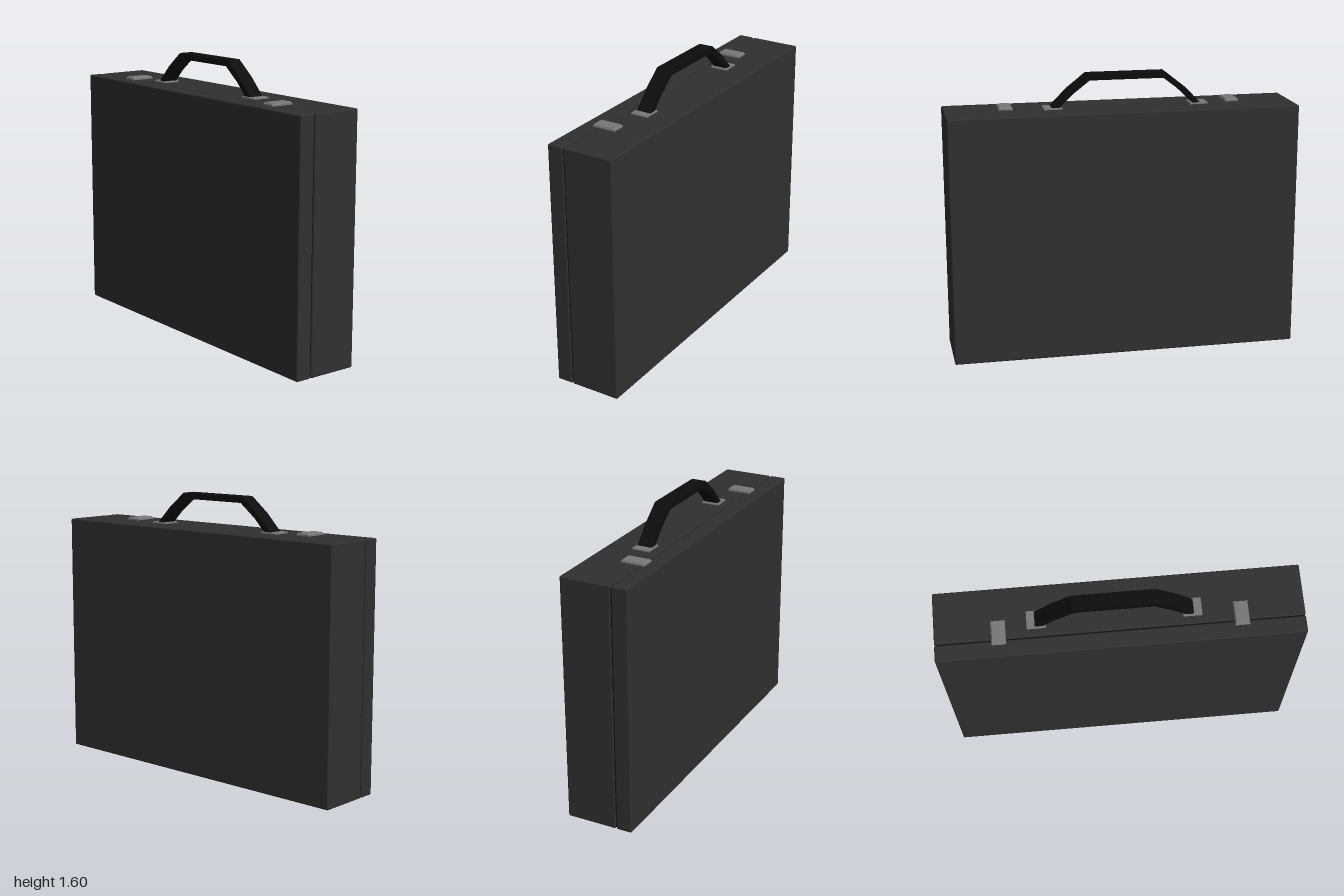
import * as THREE from 'three';
import { RoundedBoxGeometry } from 'three/addons/geometries/RoundedBoxGeometry.js';

const HEIGHT = 1.41, LENGTH = 1.98, BEVEL = 0.008;

const shell = new THREE.MeshStandardMaterial({ color: 0x303030 });
const dark = new THREE.MeshStandardMaterial({ color: 0x0d0d0d });
const metal = new THREE.MeshStandardMaterial({ color: 0x777777 });

function add(parent, name, geometry, material, x = 0, y = 0, z = 0) {
  const mesh = new THREE.Mesh(geometry, material);
  mesh.name = name;
  mesh.position.set(x, y, z);
  parent.add(mesh);
  return mesh;
}

// One half of the case, spanning x0..x1 with slightly softened edges
function caseHalf(parent, name, x0, x1) {
  const geometry = new RoundedBoxGeometry(x1 - x0, HEIGHT, LENGTH, 2, BEVEL);
  add(parent, name, geometry, shell, (x0 + x1) / 2, HEIGHT / 2, 0);
}

// Flat plate resting on the case, its top face drawn in by a chamfer
function plate(width, height, length, chamfer) {
  const geometry = new THREE.BoxGeometry(width, height, length, 1, 2, 1).toNonIndexed();
  const p = geometry.attributes.position;
  for (let i = 0; i < p.count; i++) {
    if (p.getY(i) > height * 0.4) {
      p.setX(i, p.getX(i) - Math.sign(p.getX(i)) * chamfer);
      p.setZ(i, p.getZ(i) - Math.sign(p.getZ(i)) * chamfer);
    }
  }
  geometry.translate(0, height / 2, 0);
  geometry.computeVertexNormals();
  return geometry;
}

// Angular carrying handle: half profile mirrored, then extruded across the case
function handleGeometry(width) {
  const outer = [[0.438, 1.405], [0.332, 1.513], [0.222, 1.6]];
  const inner = [[0.21, 1.566], [0.31, 1.489], [0.394, 1.405]];
  const flip = (points) => points.map(([z, y]) => [-z, y]).reverse();
  const outline = [...outer, ...flip(outer), ...flip(inner), ...inner];
  const shape = new THREE.Shape(outline.map(([z, y]) => new THREE.Vector2(z, y)));
  const geometry = new THREE.ExtrudeGeometry(shape, { depth: width, bevelEnabled: false });
  geometry.translate(0, 0, -width / 2);
  geometry.rotateY(Math.PI / 2);
  return geometry;
}

export function createModel() {
  const group = new THREE.Group();
  group.name = 'briefcase';

  // The case stands slightly turned
  const body = new THREE.Group();
  body.name = 'caseBody';
  body.rotation.y = -0.06;
  group.add(body);

  // Thin lid and deep base, with a dark core showing in the seam
  caseHalf(body, 'lid', -0.195, -0.103);
  caseHalf(body, 'base', -0.097, 0.195);
  add(body, 'seam', new THREE.BoxGeometry(0.03, HEIGHT - 0.016, LENGTH - 0.016), dark, -0.1, HEIGHT / 2, 0);

  // Handle and its end plates
  const handleZ = -0.028;
  add(body, 'handle', handleGeometry(0.085), dark, -0.002, 0, handleZ);

  for (const side of [-1, 1]) {
    const end = side < 0 ? 'Back' : 'Front';
    add(body, `handlePlate${end}`, plate(0.102, 0.009, 0.104, 0.002), metal, -0.003, HEIGHT, handleZ + side * 0.417);
    // Latches bridging the seam
    add(body, `latch${end}`, plate(0.136, 0.016, 0.078, 0.006), metal, -0.06, HEIGHT, side * 0.648);
  }
  return group;
}
